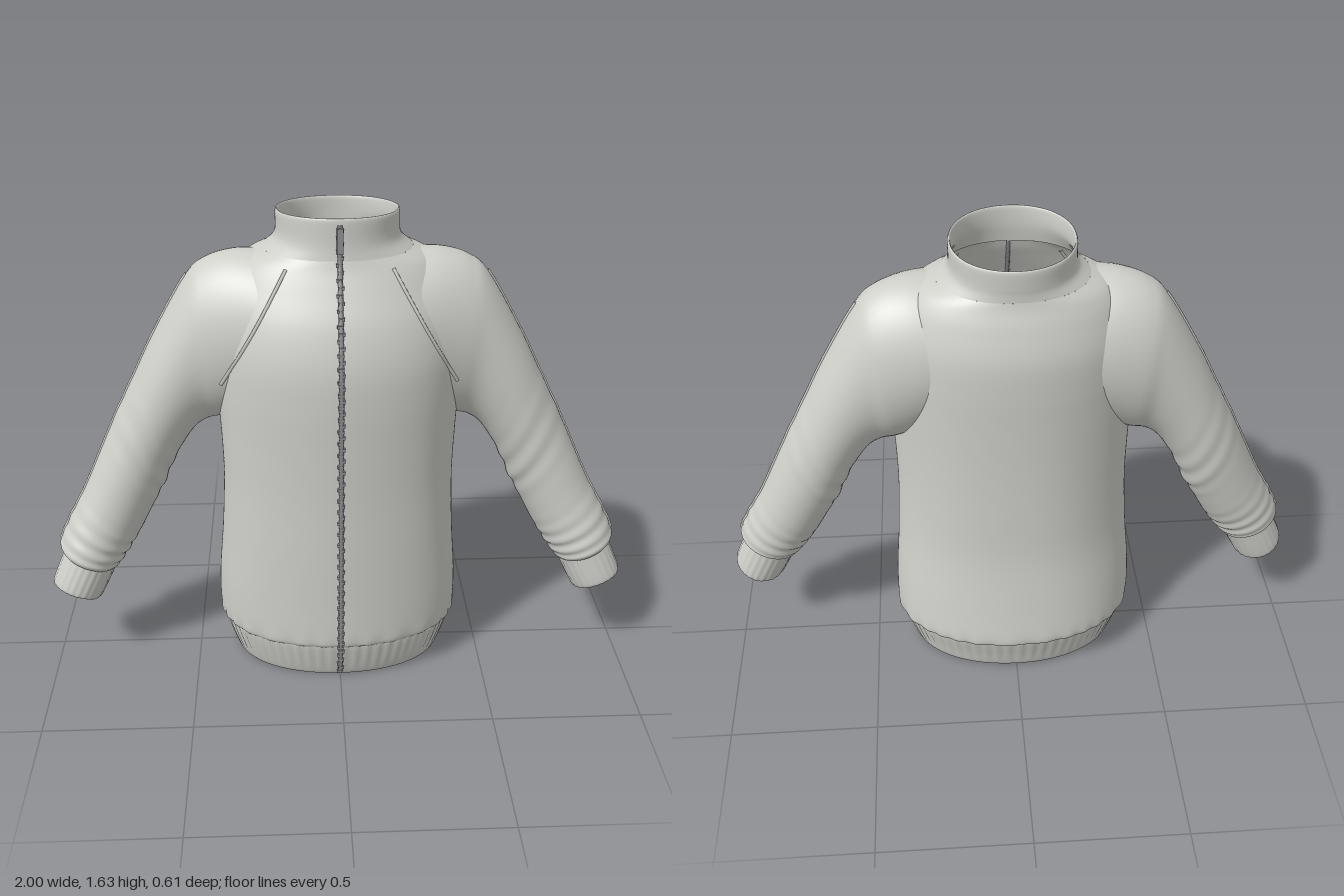
import * as THREE from 'three';

const fabric = new THREE.MeshStandardMaterial({ color: 0xcfcfca, side: THREE.DoubleSide });
fabric.name = 'light grey fabric';
const metal = new THREE.MeshStandardMaterial({ color: 0x8e8e93 });
metal.name = 'grey zip metal';

// Smooth interpolation through rows of numbers, t from 0 to 1
function sample(rows, t) {
  const f = t * (rows.length - 1), i = Math.min(Math.floor(f), rows.length - 2), k = f - i;
  const at = (n) => rows[Math.min(Math.max(n, 0), rows.length - 1)];
  return rows[0].map((_, c) => {
    const [a, b, d, e] = [at(i - 1)[c], at(i)[c], at(i + 1)[c], at(i + 2)[c]];
    return b + 0.5 * k * (d - a + k * (2 * a - 5 * b + 4 * d - e + k * (3 * (b - d) + e - a)));
  });
}

// Skin made of closed rings: point(t, angle) gives each position
function loft(name, rings, sides, point, flip = false) {
  const pos = [], index = [];
  for (let i = 0; i <= rings; i++) {
    for (let j = 0; j < sides; j++) {
      pos.push(...point(i / rings, (j / sides) * Math.PI * 2));
      if (i === rings) continue;
      const a = i * sides + j, b = i * sides + ((j + 1) % sides), c = a + sides, d = b + sides;
      index.push(...(flip ? [a, c, b, b, c, d] : [a, b, c, b, d, c]));
    }
  }
  const geo = new THREE.BufferGeometry();
  geo.setAttribute('position', new THREE.Float32BufferAttribute(pos, 3));
  geo.setIndex(index);
  geo.computeVertexNormals();
  const mesh = new THREE.Mesh(geo, fabric);
  mesh.name = name;
  return mesh;
}

// Torso rows: height, half width, front z, back z
const hemRows = [
  [0.03, 0.35, 0.225, -0.235], [0, 0.345, 0.222, -0.232], [0, 0.36, 0.232, -0.242],
  [0.06, 0.38, 0.252, -0.259], [0.13, 0.4, 0.27, -0.28], [0.16, 0.4, 0.27, -0.284],
];
const bodyRows = [
  [0.135, 0.395, 0.265, -0.275], [0.14, 0.407, 0.275, -0.287], [0.17, 0.418, 0.282, -0.298],
  [0.3, 0.417, 0.284, -0.28], [0.5, 0.4, 0.288, -0.255], [0.7, 0.39, 0.291, -0.25],
  [0.88, 0.393, 0.297, -0.25], [1.05, 0.4, 0.303, -0.254], [1.18, 0.4, 0.298, -0.258],
  [1.3, 0.385, 0.268, -0.255], [1.4, 0.35, 0.22, -0.23], [1.46, 0.305, 0.19, -0.208],
  [1.492, 0.24, 0.177, -0.2],
];
const collarRows = [
  [1.492, 0.24, 0.177, -0.2], [1.52, 0.208, 0.173, -0.2], [1.55, 0.197, 0.171, -0.202],
  [1.605, 0.196, 0.17, -0.204], [1.605, 0.187, 0.161, -0.195], [1.55, 0.187, 0.161, -0.194],
  [1.496, 0.226, 0.17, -0.194],
];

function torsoPoint(rows, ripple = () => 0) {
  return (t, a) => {
    const [y, w, front, back] = sample(rows, t);
    const s = Math.sin(a), c = Math.cos(a), r = 1 + ripple(y, a);
    const z = (front + back) / 2 + ((front - back) / 2) * Math.sign(c) * Math.abs(c) ** 0.94 * r;
    const tilt = 0.08 * THREE.MathUtils.smoothstep(y, 1.45, 1.6); // collar is higher in front
    return [w * Math.sign(s) * Math.abs(s) ** 0.96 * r, y + tilt * z, z];
  };
}

// Sleeve rows: outer x, outer y, inner x, inner y, centre z, half depth, end slant
const sleeveRows = [
  [0.22, 1.482, 0.22, 1.0, 0.01, 0.205, 0], [0.33, 1.48, 0.29, 0.95, -0.002, 0.192, 0],
  [0.425, 1.45, 0.375, 0.915, -0.01, 0.174, 0], [0.49, 1.39, 0.435, 0.9, -0.01, 0.156, 0],
  [0.6, 1.2, 0.482, 0.865, -0.007, 0.145, 0], [0.67, 1.06, 0.54, 0.775, -0.005, 0.138, 0],
  [0.74, 0.92, 0.59, 0.665, -0.002, 0.131, 0], [0.8, 0.79, 0.635, 0.58, 0.008, 0.125, 0],
  [0.86, 0.66, 0.68, 0.495, 0.02, 0.121, 0], [0.92, 0.55, 0.725, 0.425, 0.035, 0.12, 0],
  [0.96, 0.465, 0.763, 0.372, 0.046, 0.117, 0], [0.955, 0.44, 0.775, 0.36, 0.05, 0.1, 0],
];
const cuffRows = [
  [0.93, 0.47, 0.765, 0.385, 0.053, 0.092, 0], [0.95, 0.425, 0.782, 0.35, 0.056, 0.092, 0.005],
  [0.995, 0.32, 0.832, 0.252, 0.066, 0.09, 0.015], [0.987, 0.317, 0.84, 0.255, 0.066, 0.081, 0.015],
  [0.95, 0.4, 0.8, 0.335, 0.058, 0.081, 0.005],
];

function sleevePoint(rows, side, ripple) {
  return (t, a) => {
    const [ox, oy, ix, iy, zc, depth, slant] = sample(rows, t);
    const r = 1 + ripple(t, a), c = 0.5 * Math.cos(a) * r, s = Math.sin(a);
    return [side * ((ox + ix) / 2 + (ox - ix) * c - 0.45 * slant * s),
      (oy + iy) / 2 + (oy - iy) * c + 0.9 * slant * s, zc + depth * s * r];
  };
}

function cord(name, points, radius, material) {
  const curve = new THREE.CatmullRomCurve3(points);
  const mesh = new THREE.Mesh(new THREE.TubeGeometry(curve, 60, radius, 6), material);
  mesh.name = name;
  return mesh;
}

export function createModel() {
  const model = new THREE.Group();
  model.name = 'zipJacket';

  // Torso with soft drape, ribbed hem and standing collar
  const drape = (y, a) => 0.006 * Math.sin(7 * a + 3 * y) * Math.sin(Math.PI * Math.min(y / 1.2, 1))
    + 0.008 * Math.sin(29 * a + 2 * Math.sin(5 * a)) * Math.max(0, 1 - Math.abs(y - 0.15) / 0.05);
  const rib = (y, a) => 0.007 * Math.sin(64 * a) * Math.min(1, y / 0.06);
  model.add(
    loft('body', 72, 160, torsoPoint(bodyRows, drape)),
    loft('hem', 20, 256, torsoPoint(hemRows, rib)),
    loft('collar', 36, 96, torsoPoint(collarRows)),
  );

  // Sleeves with folds at the elbow and gathers above the cuff
  const folds = (t, a) => {
    const elbow = Math.exp(-(((t - 0.53) / 0.07) ** 2)) * (0.6 - 0.4 * Math.cos(a));
    const gather = Math.exp(-(((t - 0.84) / 0.08) ** 2)) * (0.7 - 0.3 * Math.cos(a));
    return 0.03 * elbow * Math.sin(95 * t + 1.5 * Math.sin(a)) + 0.035 * gather * Math.sin(125 * t + Math.sin(a));
  };
  for (const side of [1, -1]) {
    const name = side > 0 ? 'left' : 'right';
    model.add(
      loft(name + 'Sleeve', 120, 56, sleevePoint(sleeveRows, side, folds), side < 0),
      loft(name + 'Cuff', 20, 96, sleevePoint(cuffRows, side, (t, a) => 0.012 * Math.sin(24 * a)), side < 0),
    );
  }

  // Finds the cloth surface seen from the front
  const cloth = [...model.children];
  const ray = new THREE.Raycaster();
  const onFront = (x, y, lift) => {
    ray.set(new THREE.Vector3(x, y, 1), new THREE.Vector3(0, 0, -1));
    const hit = ray.intersectObjects(cloth)[0];
    return new THREE.Vector3(x, y, (hit ? hit.point.z : 0.17) + lift);
  };

  // Piping down the outside of the sleeves and slanting across the chest
  for (const side of [1, -1]) {
    const name = side > 0 ? 'left' : 'right';
    const outside = [], chest = [];
    for (let i = 0; i <= 40; i++) {
      const p = sleevePoint(sleeveRows, side, folds)(0.265 + (0.645 * i) / 40, 0);
      outside.push(new THREE.Vector3(...p));
    }
    for (let i = 0; i <= 14; i++) {
      const k = i / 14;
      chest.push(onFront(side * (0.165 + 0.213 * k), 1.465 - 0.38 * k, 0));
    }
    model.add(
      cord(name + 'SleevePiping', outside, 0.006, fabric),
      cord(name + 'ChestPiping', chest, 0.006, fabric),
    );
  }

  // Zip with its teeth and pull
  const zip = [];
  for (let i = 0; i <= 40; i++) zip.push(onFront(0, 0.008 + (1.6 * i) / 40, 0.003));
  model.add(cord('zip', zip, 0.008, metal));
  const teeth = new THREE.InstancedMesh(new THREE.BoxGeometry(0.02, 0.01, 0.01), metal, 76);
  teeth.name = 'zipTeeth';
  for (let i = 0; i < 76; i++) {
    const p = onFront(i % 2 ? 0.002 : -0.002, 0.015 + i * 0.021, 0.005);
    teeth.setMatrixAt(i, new THREE.Matrix4().setPosition(p));
  }
  model.add(teeth);
  const pull = new THREE.Mesh(new THREE.BoxGeometry(0.02, 0.08, 0.012), metal);
  pull.name = 'zipPull';
  pull.position.copy(onFront(0, 1.56, 0.012));
  model.add(pull);
  return model;
}
